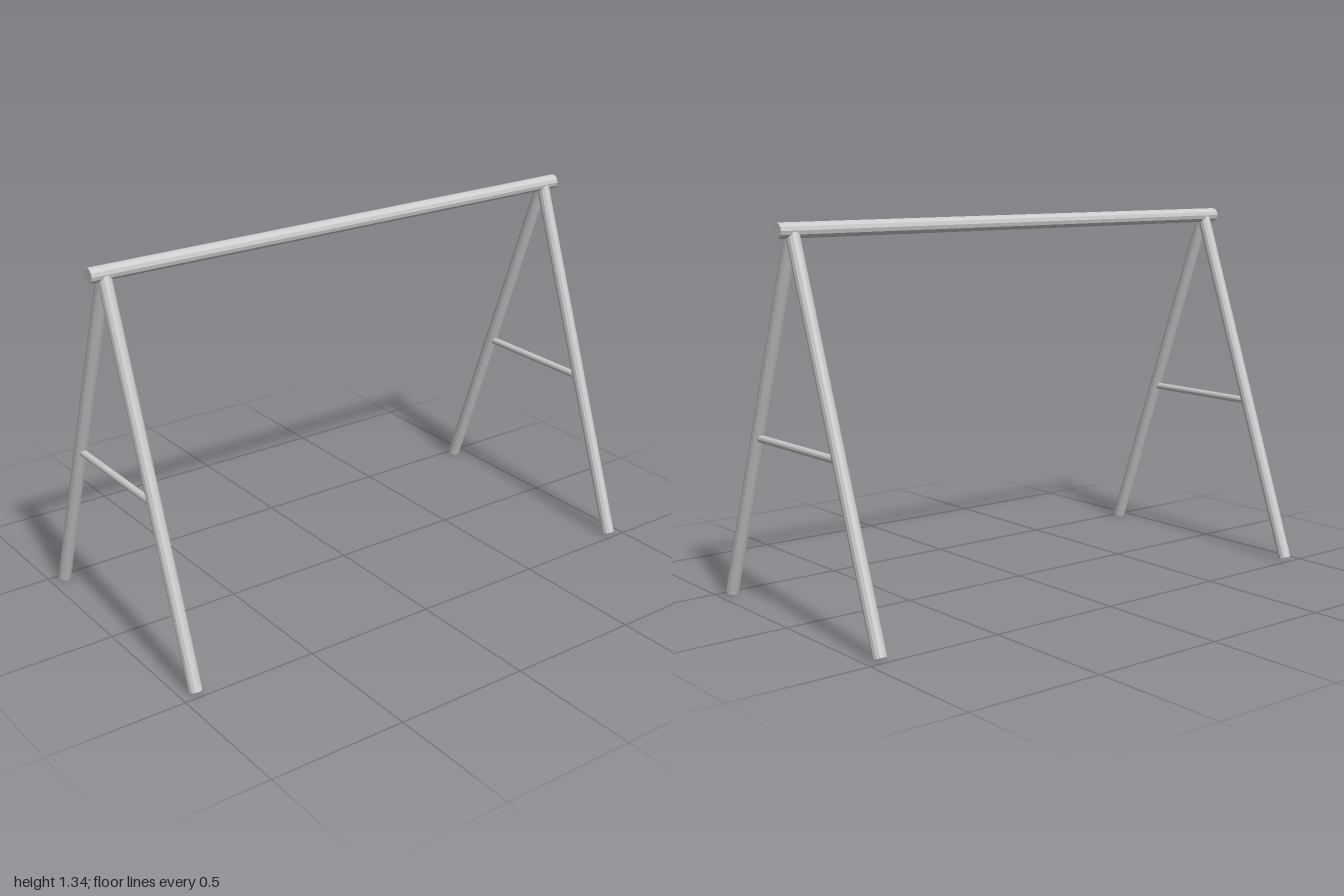
import * as THREE from 'three';

const material = new THREE.MeshStandardMaterial({ color: 0xcccccc, flatShading: true });

// Round pole running between two points
function pole(name, from, to, radius, sides) {
  const a = new THREE.Vector3(...from);
  const b = new THREE.Vector3(...to);
  const dir = b.clone().sub(a);
  const mesh = new THREE.Mesh(new THREE.CylinderGeometry(radius, radius, dir.length(), sides), material);
  mesh.name = name;
  mesh.position.copy(a).add(b).multiplyScalar(0.5);
  mesh.quaternion.setFromUnitVectors(new THREE.Vector3(0, 1, 0), dir.normalize());
  return mesh;
}

export function createModel() {
  const model = new THREE.Group();
  model.name = 'swingFrame';

  const topY = 1.317, footY = 0.008, footZ = 0.472, frameX = 0.945;
  const braceY = 0.6;
  const braceZ = footZ * (topY - braceY) / (topY - footY);

  // Top beam
  model.add(pole('topBeam', [-1, topY, 0], [1, topY, 0], 0.0265, 12));

  // A-shaped end frames: two splayed legs and a cross brace
  for (const side of [-1, 1]) {
    const x = side * frameX;
    const frame = new THREE.Group();
    frame.name = side > 0 ? 'leftEndFrame' : 'rightEndFrame';
    frame.add(
      pole('frontLeg', [x, footY, footZ], [x, topY, 0], 0.0235, 12),
      pole('backLeg', [x, footY, -footZ], [x, topY, 0], 0.0235, 12),
      pole('crossBrace', [x, braceY, -braceZ], [x, braceY, braceZ], 0.0133, 12),
    );
    model.add(frame);
  }
  return model;
}
